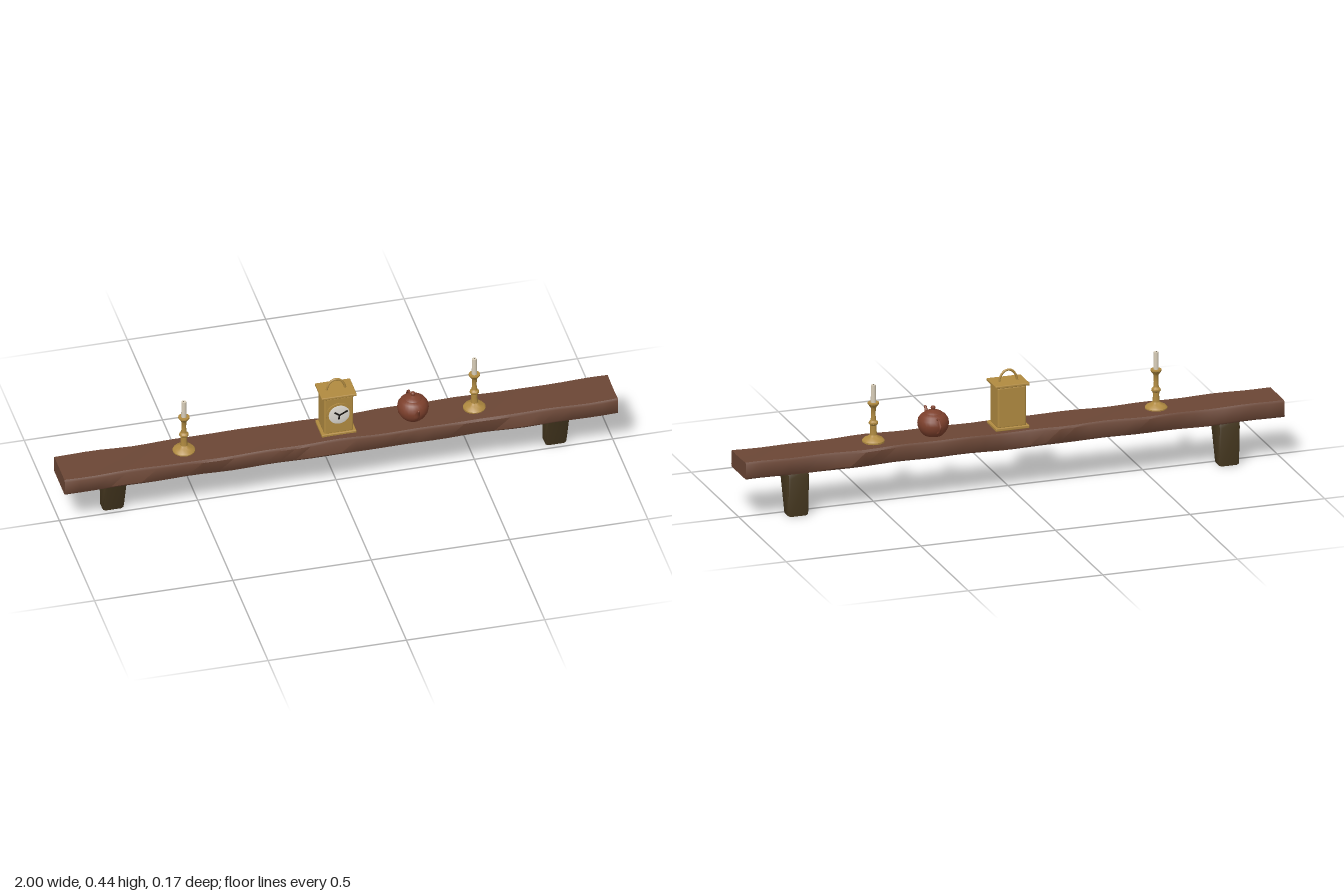
import * as THREE from 'three';
import { toCreasedNormals } from 'three/addons/utils/BufferGeometryUtils.js';
import { RoundedBoxGeometry } from 'three/addons/geometries/RoundedBoxGeometry.js';

const mat = (name, color) => {
  const m = new THREE.MeshStandardMaterial({ color });
  m.name = name;
  return m;
};
const v2 = (pts) => pts.map(([x, y]) => new THREE.Vector2(x, y));

export function createModel() {
  const wood = mat('reddish wood', 0x6b4635);
  const darkWood = mat('dark wood', 0x45371f);
  const brass = mat('brass', 0xb08a40);
  const clay = mat('red clay', 0x7d402c);
  const wax = mat('candle wax', 0xd8cdb8);
  const enamel = mat('clock enamel', 0xdedad2);
  const black = mat('black', 0x1a1714);

  const root = new THREE.Group();
  root.name = 'mantelShelf';
  const add = (parent, name, geo, material, x = 0, y = 0, z = 0) => {
    const m = new THREE.Mesh(geo, material);
    m.name = name;
    m.position.set(x, y, z);
    parent.add(m);
    return m;
  };
  const group = (name, x, y, z) => {
    const g = new THREE.Group();
    g.name = name;
    g.position.set(x, y, z);
    root.add(g);
    return g;
  };
  // extrude a (z, y) outline sideways along x, centred
  const sideways = (pts, options) => {
    const geo = new THREE.ExtrudeGeometry(new THREE.Shape(v2(pts)), options);
    geo.translate(0, 0, -options.depth / 2);
    return geo.rotateY(-Math.PI / 2);
  };

  // shelf: a long beam with gently hewn, wavering edges
  const shelf = sideways([
    [-0.074, 0.162], [0.074, 0.162], [0.08, 0.17], [0.08, 0.216], [0.074, 0.224],
    [0.03, 0.224], [-0.03, 0.224], [-0.074, 0.224], [-0.08, 0.216], [-0.08, 0.17],
  ], { depth: 2, steps: 36, bevelEnabled: false });
  const p = shelf.attributes.position;
  for (let i = 0; i < p.count; i++) {
    const x = p.getX(i), y = p.getY(i), z = p.getZ(i);
    const a = Math.sin(x * 17 + z * 30) * Math.sin(x * 7.3 + 1);
    const b = Math.sin(x * 13 + 2 + y * 40) * Math.cos(x * 5.1);
    p.setY(i, y + (y > 0.19 ? 0.0025 : 0.002) * a);
    p.setZ(i, z * (1 + 0.04 * (b - 0.4)));
  }
  add(root, 'shelf', toCreasedNormals(shelf, 0.7), wood);

  // tapered brackets
  const bracketGeo = toCreasedNormals(sideways([
    [-0.052, 0.01], [-0.026, 0.01], [0.017, 0.142], [0.011, 0.156], [-0.055, 0.156], [-0.06, 0.142],
  ], { depth: 0.056, bevelSize: 0.01, bevelThickness: 0.012, bevelSegments: 2 }), 0.6);
  for (const side of [-1, 1]) {
    add(root, side < 0 ? 'rightBracket' : 'leftBracket', bracketGeo, darkWood, side * 0.8);
  }

  // candlesticks
  const stickGeo = toCreasedNormals(new THREE.LatheGeometry(v2([
    [0, 0], [0.04, 0], [0.04, 0.006], [0.034, 0.013], [0.02, 0.019], [0.013, 0.026],
    [0.011, 0.05], [0.012, 0.062], [0.017, 0.068], [0.016, 0.074], [0.01, 0.08],
    [0.008, 0.1], [0.009, 0.125], [0.012, 0.13], [0.02, 0.141], [0.02, 0.146], [0, 0.146],
  ]), 18), 0.6);
  for (const x of [-0.55, 0.5]) {
    const g = group('candlestick', x, 0.222, 0);
    add(g, 'stick', stickGeo, brass);
    add(g, 'candle', new THREE.CylinderGeometry(0.0085, 0.0095, 0.064, 14), wax, 0, 0.178);
    add(g, 'wick', new THREE.CylinderGeometry(0.001, 0.001, 0.004, 6), black, 0, 0.211);
  }

  // carriage clock
  const clock = group('clock', 0, 0.222, -0.002);
  add(clock, 'base', new RoundedBoxGeometry(0.125, 0.012, 0.098, 2, 0.003), brass, 0, 0.006);
  add(clock, 'case', new RoundedBoxGeometry(0.106, 0.152, 0.086, 3, 0.007), brass, 0, 0.084);
  add(clock, 'top', new RoundedBoxGeometry(0.127, 0.01, 0.099, 2, 0.003), brass, 0, 0.164);
  const arch = new THREE.CatmullRomCurve3([
    [-0.034, 0.166], [-0.029, 0.186], [-0.014, 0.205], [0, 0.209],
    [0.014, 0.205], [0.029, 0.186], [0.034, 0.166],
  ].map(([x, y]) => new THREE.Vector3(x, y, 0)));
  add(clock, 'handle', new THREE.TubeGeometry(arch, 20, 0.0042, 8), brass);
  const rim = add(clock, 'dialRim', new THREE.CylinderGeometry(0.047, 0.047, 0.006, 28), brass, 0, 0.089, 0.044);
  rim.rotation.x = Math.PI / 2;
  const dial = add(clock, 'dial', new THREE.SphereGeometry(0.045, 28, 14), enamel, 0, 0.089, 0.043);
  dial.scale.z = 0.17;
  for (const [name, length, angle] of [['hourHand', 0.025, 2.5], ['minuteHand', 0.036, 0.45], ['shortHand', 0.02, -1.7]]) {
    const geo = new THREE.BoxGeometry(length, 0.006, 0.002).translate(length / 2 - 0.003, 0, 0);
    add(clock, name, geo, black, 0, 0.089, 0.0505).rotation.z = angle;
  }

  // teapot, spout to the front
  const pot = group('teapot', 0.278, 0.222, 0);
  add(pot, 'body', new THREE.LatheGeometry(v2([
    [0, 0], [0.032, 0], [0.044, 0.012], [0.053, 0.028], [0.056, 0.045],
    [0.053, 0.061], [0.044, 0.074], [0.03, 0.082], [0, 0.084],
  ]), 24), clay);
  add(pot, 'lid', new THREE.LatheGeometry(v2([
    [0.032, 0.079], [0.032, 0.083], [0.02, 0.089], [0.007, 0.092],
    [0.006, 0.095], [0.009, 0.1], [0.007, 0.105], [0, 0.107],
  ]), 20), clay);
  // spout: tapered tube between two rings
  const spout = new THREE.CatmullRomCurve3([
    new THREE.Vector3(0, 0.028, 0.044), new THREE.Vector3(0, 0.042, 0.06),
    new THREE.Vector3(0, 0.062, 0.071), new THREE.Vector3(0, 0.079, 0.082),
  ]);
  const spoutGeo = new THREE.TubeGeometry(spout, 10, 0.012, 10);
  const sp = spoutGeo.attributes.position;
  for (let i = 0; i < sp.count; i++) {
    const t = Math.floor(i / 11) / 10;
    const c = spout.getPointAt(t);
    const v = new THREE.Vector3().fromBufferAttribute(sp, i).sub(c).multiplyScalar(1 - 0.62 * t).add(c);
    sp.setXYZ(i, v.x, v.y, v.z);
  }
  spoutGeo.computeVertexNormals();
  add(pot, 'spout', spoutGeo, clay);
  add(pot, 'spoutTip', new THREE.SphereGeometry(0.0046, 10, 6), clay, 0, 0.078, 0.0815);
  // angular handle
  const grip = new THREE.CatmullRomCurve3([
    [0.07, -0.045], [0.072, -0.058], [0.062, -0.07], [0.05, -0.08],
    [0.038, -0.073], [0.026, -0.062], [0.018, -0.045],
  ].map(([y, z]) => new THREE.Vector3(0, y, z)));
  add(pot, 'handle', new THREE.TubeGeometry(grip, 20, 0.0042, 8), clay);

  return root;
}
